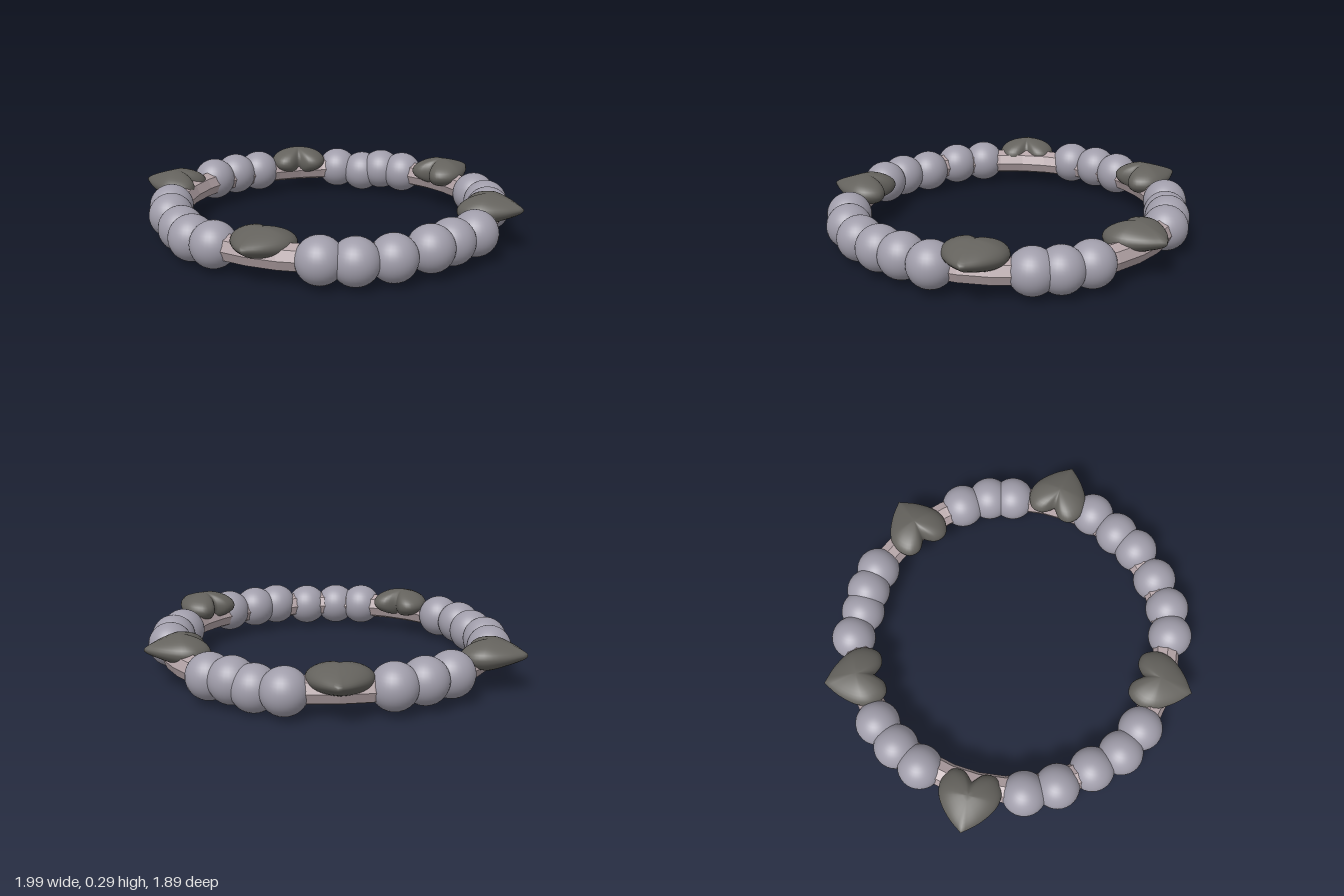
import * as THREE from 'three';
import { mergeVertices } from 'three/addons/utils/BufferGeometryUtils.js';

const beadMaterial = new THREE.MeshStandardMaterial({ color: 0xa09daa });
const heartMaterial = new THREE.MeshStandardMaterial({ color: 0x64625d });
const bandMaterial = new THREE.MeshStandardMaterial({ color: 0xb5a5a8, flatShading: true });

// Half outline of a heart, from the tip (+z) round the lobe to the cleft (-z)
const halfHeart = new THREE.CatmullRomCurve3([
  [0, 0.17], [0.08, 0.105], [0.145, 0.015], [0.155, -0.06],
  [0.115, -0.13], [0.055, -0.135], [0, -0.085],
].map(([x, z]) => new THREE.Vector3(x, 0, z)));

// Puffed heart: a sphere whose equator follows the outline and which thins to the tip
function heartGeometry() {
  const geo = new THREE.SphereGeometry(1, 48, 18);
  const pos = geo.attributes.position;
  const uv = geo.attributes.uv;
  for (let i = 0; i < pos.count; i++) {
    const turn = ((uv.getX(i) + 0.75) % 1) * 2;
    const side = turn <= 1 ? 1 : -1;
    const edge = halfHeart.getPoint(turn <= 1 ? turn : 2 - turn);
    const y = pos.getY(i);
    const spread = Math.sqrt(Math.max(0, 1 - y * y));
    const x = side * edge.x * spread;
    const z = edge.z * spread;
    const thickness = 0.075 * (1 - 0.45 * Math.max(0, z / 0.17));
    pos.setXYZ(i, x, y * thickness, z);
  }
  geo.deleteAttribute('uv');
  geo.deleteAttribute('normal');
  const merged = mergeVertices(geo, 1e-5);
  merged.computeVertexNormals();
  return merged;
}

export function createModel() {
  const model = new THREE.Group();
  model.name = 'bracelet';

  // Faceted band running through the beads
  const band = new THREE.Mesh(new THREE.TorusGeometry(0.815, 0.068, 8, 36), bandMaterial);
  band.name = 'band';
  band.rotation.x = Math.PI / 2;
  band.position.set(0.01, 0.13, 0);
  model.add(band);

  // Round beads: x, z, height of centre
  const beads = [
    [-0.45, -0.70, 0.125], [-0.30, -0.75, 0.115], [-0.19, -0.79, 0.135], [-0.06, -0.82, 0.13],
    [0.51, -0.65, 0.13], [0.63, -0.55, 0.13], [0.70, -0.44, 0.13],
    [0.85, -0.01, 0.14], [0.82, 0.16, 0.14], [0.79, 0.30, 0.14],
    [0.70, 0.47, 0.125], [0.59, 0.61, 0.125], [0.46, 0.70, 0.13],
    [-0.06, 0.82, 0.13], [-0.22, 0.80, 0.125], [-0.37, 0.72, 0.12],
    [-0.54, 0.62, 0.13], [-0.66, 0.50, 0.13],
    [-0.83, -0.01, 0.14], [-0.81, -0.17, 0.14], [-0.76, -0.32, 0.135],
  ];
  const beadGeo = new THREE.SphereGeometry(0.114, 32, 20);
  const beadGroup = new THREE.Group();
  beadGroup.name = 'beads';
  for (const [x, z, y] of beads) {
    const bead = new THREE.Mesh(beadGeo, beadMaterial);
    bead.name = 'bead';
    bead.position.set(x, y, z);
    beadGroup.add(bead);
  }
  model.add(beadGroup);

  // Heart charms: x, z, height, then the direction the tip points (x, z)
  const hearts = [
    [0.24, -0.78, 0.19, 0.40, -0.92],
    [0.825, -0.21, 0.212, 0.99, -0.15],
    [0.19, 0.785, 0.18, 0.20, 0.98],
    [-0.84, 0.29, 0.18, -0.93, 0.36],
    [-0.63, -0.535, 0.185, -0.69, -0.72],
  ];
  const heartGeo = heartGeometry();
  const heartGroup = new THREE.Group();
  heartGroup.name = 'heartCharms';
  for (const [x, z, y, dx, dz] of hearts) {
    const heart = new THREE.Mesh(heartGeo, heartMaterial);
    heart.name = 'heartCharm';
    heart.position.set(x, y, z);
    heart.rotation.set(-0.06, Math.atan2(dx, dz), 0, 'YXZ');
    heartGroup.add(heart);
  }
  model.add(heartGroup);

  // Rest the lowest bead on the ground
  const box = new THREE.Box3().setFromObject(model);
  model.position.y = -box.min.y;
  return model;
}
